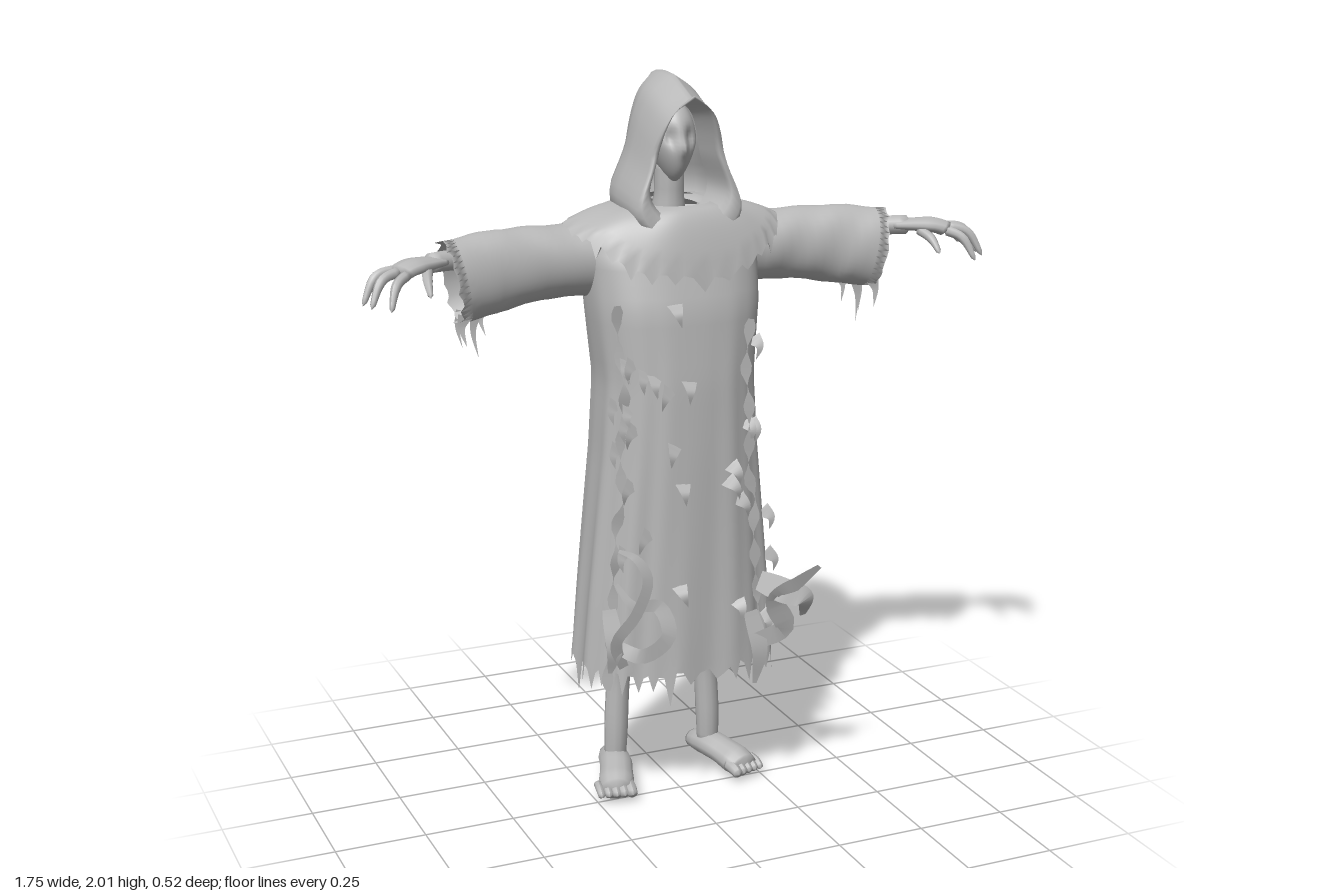
import * as THREE from 'three';

const cloth = new THREE.MeshStandardMaterial({ color: 0xb8b8b8, side: THREE.DoubleSide });
cloth.name = 'pale grey';

let seed = 7;
const rand = () => (seed = (seed * 16807) % 2147483647) / 2147483647;
const lerp = THREE.MathUtils.lerp;
const V = (x, y, z) => new THREE.Vector3(x, y, z);
const power = (c, p) => Math.sign(c) * Math.abs(c) ** p;

// Interpolates rows of [key, ...values] sorted by rising key
function rowAt(rows, k) {
  let i = 0;
  while (i < rows.length - 2 && k > rows[i + 1][0]) i++;
  const [a, b] = [rows[i], rows[i + 1]];
  const t = THREE.MathUtils.clamp((k - a[0]) / (b[0] - a[0]), 0, 1);
  return a.slice(1).map((n, j) => lerp(n, b[j + 1], t));
}

// Surface from a function of column and row, optionally closed around
function grid(nu, nv, closed, fn) {
  const pos = [], index = [], cols = closed ? nu : nu + 1;
  for (let v = 0; v <= nv; v++) for (let u = 0; u < cols; u++) pos.push(...fn(u, v));
  for (let v = 0; v < nv; v++) for (let u = 0; u < nu; u++) {
    const a = v * cols + u, b = v * cols + (u + 1) % cols;
    index.push(a, b, b + cols, a, b + cols, a + cols);
  }
  const g = new THREE.BufferGeometry();
  g.setAttribute('position', new THREE.Float32BufferAttribute(pos, 3));
  g.setIndex(index);
  g.computeVertexNormals();
  return g;
}

function add(parent, name, geometry) {
  const m = new THREE.Mesh(geometry, cloth);
  m.name = name;
  parent.add(m);
  return m;
}

// Round limb through points [x, y, z, radius], flattened in height by flat
function limb(pts, flat = 1, sides = 12) {
  const n = pts.length * 4;
  const curve = new THREE.CatmullRomCurve3(pts.map(p => V(p[0], p[1], p[2])));
  const g = new THREE.TubeGeometry(curve, n, 1, sides);
  const p = g.attributes.position, v = V(0, 0, 0);
  for (let i = 0; i <= n; i++) {
    const f = (i / n) * (pts.length - 1), k = Math.min(Math.floor(f), pts.length - 2);
    const end = i === 0 || i === n ? 0.02 : 1;
    const r = lerp(pts[k][3], pts[k + 1][3], f - k) * end;
    const c = curve.getPointAt(i / n);
    for (let j = 0; j <= sides; j++) {
      const at = i * (sides + 1) + j;
      v.fromBufferAttribute(p, at).sub(c).multiplyScalar(r);
      p.setXYZ(at, c.x + v.x, c.y + v.y * flat, c.z + v.z);
    }
  }
  g.computeVertexNormals();
  return g;
}

// Flat torn strip through points, narrowing to a tip
function ribbon(pts, width, taper = t => 1 - t, n = 10) {
  const curve = new THREE.CatmullRomCurve3(pts);
  return grid(1, n, false, (u, v) => {
    const t = v / n, c = curve.getPoint(t), d = curve.getTangent(t);
    const side = V(-d.y, d.x, 0.001).normalize().multiplyScalar((u - 0.5) * width * taper(t));
    return c.add(side).toArray();
  });
}

// Irregular torn edge: one drop per column
const tornEdge = (n, small, big) => Array.from({ length: n }, (_, i) =>
  (i % 3 === 1 ? 0.4 + 0.6 * rand() : 0.25 * rand()) * (rand() < 0.25 ? big : small));

// Robe rows: height, half width, front z, back z
const ROBE = [
  [0.25, 0.292, 0.155, -0.265], [0.4, 0.285, 0.148, -0.257], [0.6, 0.268, 0.142, -0.243],
  [0.8, 0.248, 0.138, -0.235], [1.0, 0.228, 0.135, -0.228], [1.2, 0.215, 0.13, -0.226],
  [1.4, 0.235, 0.115, -0.23], [1.55, 0.24, 0.075, -0.23], [1.61, 0.19, 0.035, -0.215],
  [1.65, 0.08, -0.02, -0.17],
];
function robeAt(a, y, out = 0) {
  const [hw, zf, zb] = rowAt(ROBE, y);
  const low = THREE.MathUtils.clamp((1.5 - y) / 1.1, 0, 1);
  const fold = 1 + out + low * (0.022 * Math.sin(11 * a + 1) + 0.014 * Math.sin(19 * a + y * 3)) - 0.02 * low;
  return V(hw * power(Math.cos(a), 0.78) * fold, y,
    (zf + zb) / 2 + ((zf - zb) / 2) * power(Math.sin(a), 0.78) * fold);
}

function buildRobe(g) {
  const n = 108, rows = 36, torn = tornEdge(n, 0.07, 0.13);
  add(g, 'robe', grid(n, rows, true, (u, v) => {
    const hem = 0.41 - torn[u];
    const y = v < rows - 2 ? lerp(1.65, 0.45, v / (rows - 3)) : lerp(0.45, hem, (v - rows + 3) / 3);
    return robeAt((u / n) * Math.PI * 2, y).toArray();
  }));

  // Ragged shoulder cape
  const m = 90, edge = tornEdge(m, 0.045, 0.09);
  add(g, 'shoulderCape', grid(m, 8, true, (u, v) => {
    const a = (u / m) * Math.PI * 2, s = Math.sin(a), t = v / 8;
    const hw = lerp(0.1, 0.295, t ** 0.8);
    const zf = lerp(0.05, 0.128, t ** 0.6), zb = lerp(-0.19, -0.257, t ** 0.6);
    const drop = (0.05 + 0.12 * s * s) * t ** 1.6 + (v === 8 ? edge[u] * (0.4 + 0.6 * s * s) : 0);
    return [hw * power(Math.cos(a), 0.85), 1.665 - drop + 0.006 * Math.sin(8 * a) * t,
      (zf + zb) / 2 + ((zf - zb) / 2) * power(s, 0.85)];
  }));

  // Torn front panel edges
  for (const [a, top] of [[0.95, 1.36], [2.5, 1.42]]) {
    const pts = [];
    for (let i = 0; i <= 14; i++)
      pts.push(robeAt(a + 0.1 * (rand() - 0.5), lerp(top, 0.36, i / 14), 0.03 + 0.05 * rand()));
    add(g, 'frontPanelEdge', ribbon(pts, 0.035, t => 0.5 + 0.5 * Math.sin(t * 60), 56));
  }

  // Small loose tatters over the front
  for (let i = 0; i < 30; i++) {
    const a = 0.3 + rand() * 2.5, y = 0.5 + rand() * 0.95, d = (rand() - 0.5) * 0.25;
    add(g, 'tatter', ribbon([robeAt(a, y), robeAt(a + d / 2, y - 0.025, 0.1), robeAt(a + d, y - 0.06, 0.07)], 0.045));
  }

  // Long torn strips curling away near the hem
  const strips = [
    [0.035, [-0.22, 0.44, 0.13], [-0.25, 0.52, 0.15], [-0.2, 0.6, 0.17], [-0.17, 0.7, 0.18], [-0.2, 0.76, 0.17], [-0.24, 0.78, 0.15]],
    [0.045, [-0.24, 0.5, 0.12], [-0.18, 0.48, 0.17], [-0.11, 0.53, 0.18], [-0.13, 0.61, 0.16], [-0.2, 0.62, 0.15], [-0.24, 0.68, 0.13]],
    [0.05, [-0.25, 0.6, 0.1], [-0.25, 0.5, 0.14], [-0.26, 0.43, 0.13]],
    [0.06, [0.15, 0.46, 0.15], [0.24, 0.5, 0.17], [0.2, 0.59, 0.19], [0.25, 0.65, 0.23], [0.295, 0.7, 0.265]],
    [0.07, [0.17, 0.64, 0.15], [0.22, 0.62, 0.2], [0.27, 0.6, 0.23], [0.28, 0.54, 0.2]],
    [0.05, [0.15, 0.55, 0.14], [0.17, 0.44, 0.16], [0.16, 0.34, 0.15]],
  ];
  for (const [w, ...p] of strips)
    add(g, 'tornStrip', ribbon(p.map(q => V(...q)), w, t => 0.25 + 0.75 * Math.sin(Math.PI * (0.25 + 0.75 * t)), 20));
}

function buildHood(g) {
  const half = new THREE.SplineCurve([[0, 2], [0.06, 1.955], [0.092, 1.89], [0.118, 1.79], [0.155, 1.67], [0.1, 1.59], [0, 1.54]]
    .map(p => new THREE.Vector2(...p)));
  const front = [[1.55, 0.085], [1.7, 0.07], [1.81, 0.058], [1.94, 0.095]];
  const back = [[1.55, -0.2], [1.7, -0.23], [1.81, -0.192], [1.97, -0.205]];
  // Rings from inside the rim, over it and to the back ridge: width, height, depth, z shift, lift
  const rings = [[0.6, 0.7, 0.35, 0, 0.07], [0.7, 0.75, 0.04, 0, 0.065], [0.76, 0.79, 0, 0, 0.05], [0.9, 0.855, 0, 0.004, 0.015],
    [0.96, 0.875, 0.03, 0, 0], [0.98, 0.92, 0.2, 0, 0], [1, 0.99, 0.45, 0, 0], [0.97, 1, 0.65, 0, 0],
    [0.82, 0.99, 0.84, 0, 0], [0.5, 0.97, 0.95, 0, 0], [0.2, 0.95, 0.99, 0, 0], [0, 0.94, 1, 0, 0]];
  const n = 56;
  add(g, 'hood', grid(n, rings.length - 1, true, (u, v) => {
    const [sx, sy, depth, dz, lift] = rings[v], t = u / n;
    const p = half.getPoint(t < 0.5 ? 2 * t : 2 - 2 * t);
    const y = 1.54 + (p.y - 1.54) * sy + lift;
    return [(t < 0.5 ? 1 : -1) * p.x * sx, y, lerp(rowAt(front, y)[0], rowAt(back, y)[0], depth) + dz];
  }));

  // Gaunt face narrowing to the chin, with eye sockets and a nose
  const head = new THREE.SphereGeometry(1, 40, 32), p = head.attributes.position;
  for (let i = 0; i < p.count; i++) {
    const x = p.getX(i), y = p.getY(i), z = p.getZ(i);
    const narrow = y < 0 ? 1 + 0.45 * y : 1;
    const bump = (cx, cy, r) => Math.exp(-((x - cx) ** 2 + (y - cy) ** 2) / (r * r));
    const shape = z > 0 ? 0.016 * bump(0, -0.1, 0.2) - 0.018 * (bump(0.42, 0.15, 0.22) + bump(-0.42, 0.15, 0.22)) : 0;
    p.setXYZ(i, x * 0.062 * narrow, 1.82 + y * 0.108, -0.055 + z * 0.078 + shape);
  }
  head.computeVertexNormals();
  add(g, 'head', head);
  add(g, 'neck', limb([[0, 1.58, -0.09, 0.055], [0, 1.66, -0.075, 0.04], [0, 1.78, -0.07, 0.04]]));
}

function buildArm(g) {
  // Sleeve rows: x, top y, bottom y, centre z, half depth
  const rows = [[0.14, 1.59, 1.4, -0.1, 0.09], [0.24, 1.61, 1.42, -0.11, 0.095], [0.36, 1.615, 1.42, -0.1, 0.085],
    [0.48, 1.615, 1.4, -0.08, 0.075], [0.61, 1.6, 1.385, -0.05, 0.07]];
  const n = 40, nv = 20, torn = tornEdge(n, 0.012, 0.03);
  add(g, 'sleeve', grid(n, nv, true, (u, v) => {
    const inside = v === nv, x = inside ? 0.52 : lerp(0.14, 0.61, v / (nv - 1));
    const a = (u / n) * Math.PI * 2, [top, low, zc, rz] = rowAt(rows, x), s = inside ? 0.82 : 1;
    const wrinkle = 1 + 0.035 * Math.sin(3 * a + x * 30) * Math.sin(x * 22);
    return [x + (v === nv - 1 ? torn[u] : 0) + 0.02 * Math.sin(a) * (x > 0.5 ? -1 : 0),
      (top + low) / 2 - Math.sin(a) * (top - low) / 2 * s * wrinkle, zc + Math.cos(a) * rz * s * wrinkle];
  }));
  for (const [x, z, len, w] of [[0.55, -0.05, 0.1, 0.03], [0.59, -0.02, 0.06, 0.04], [0.52, -0.08, 0.05, 0.03], [0.58, -0.09, 0.08, 0.025]])
    add(g, 'cuffTatter', ribbon([V(x, 1.41, z), V(x + 0.01, 1.41 - len / 2, z), V(x, 1.39 - len, z + 0.01)], w));
  add(g, 'forearm', limb([[0.4, 1.53, -0.09, 0.045], [0.54, 1.55, -0.055, 0.038], [0.64, 1.557, -0.02, 0.027], [0.7, 1.558, 0.005, 0.026]]));
  add(g, 'palm', limb([[0.64, 1.557, -0.02, 0.026], [0.7, 1.56, 0.01, 0.037], [0.75, 1.558, 0.035, 0.045], [0.785, 1.545, 0.05, 0.04]], 0.45));
  // Fingers: knuckle, middle joint, tip
  const fingers = [
    [[0.76, 1.552, 0.008], [0.81, 1.54, 0.008], [0.845, 1.5, 0.015]],
    [[0.775, 1.555, 0.03], [0.835, 1.545, 0.04], [0.876, 1.475, 0.055]],
    [[0.775, 1.555, 0.052], [0.83, 1.54, 0.075], [0.866, 1.475, 0.1]],
    [[0.76, 1.55, 0.068], [0.8, 1.53, 0.1], [0.825, 1.47, 0.132]],
    [[0.7, 1.55, 0.03], [0.715, 1.53, 0.08], [0.72, 1.495, 0.12]],
  ];
  for (const [a, b, c] of fingers) add(g, 'finger', limb([[...a, 0.014], [...b, 0.0125], [...c, 0.006]], 1, 8));
}

function buildLeg(g) {
  add(g, 'leg', limb([[0.12, 0.7, -0.1, 0.07], [0.125, 0.5, -0.11, 0.058], [0.132, 0.34, -0.128, 0.045],
    [0.14, 0.2, -0.13, 0.033], [0.143, 0.11, -0.13, 0.034], [0.145, 0.03, -0.135, 0.03]]));
  add(g, 'foot', limb([[0.132, 0.035, -0.21, 0.03], [0.14, 0.045, -0.165, 0.042], [0.155, 0.05, -0.1, 0.046],
    [0.178, 0.038, -0.04, 0.046], [0.193, 0.026, 0.0, 0.05], [0.198, 0.02, 0.02, 0.04]], 0.8));
  for (let i = 0; i < 5; i++) {
    const x = 0.16 + i * 0.0205, r = 0.017 - i * 0.0013, tip = 0.05 - i * 0.007;
    add(g, 'toe', limb([[x - 0.006, 0.03, tip - 0.06, r], [x, 0.026, tip - 0.025, r], [x + 0.003, r + 0.001, tip, r * 0.8]], 1, 8));
  }
}

export function createModel() {
  const model = new THREE.Group();
  model.name = 'hoodedFigure';
  buildRobe(model);
  buildHood(model);
  for (const side of [1, -1]) {
    const limbs = new THREE.Group();
    limbs.name = side > 0 ? 'leftLimbs' : 'rightLimbs';
    buildArm(limbs);
    buildLeg(limbs);
    limbs.scale.x = side;
    model.add(limbs);
  }
  return model;
}
